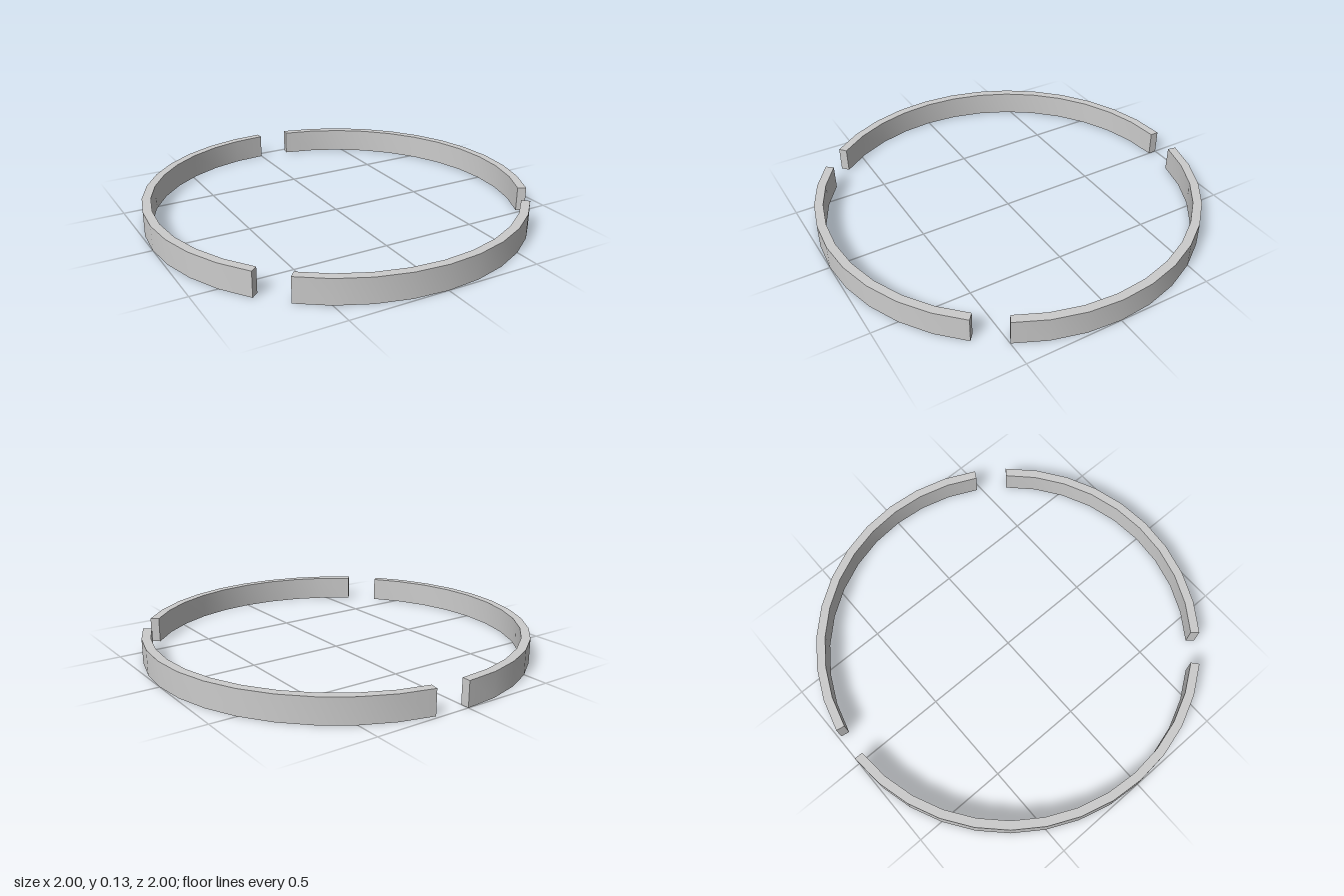
import * as THREE from 'three';
import { toCreasedNormals } from 'three/addons/utils/BufferGeometryUtils.js';

const OUTER = 1, INNER = 0.955, HEIGHT = 0.128, STEP = 10; // 36-sided ring

// Flat-ended arc of the ring; angles in degrees from +x towards +z
function arcGeometry(from, to) {
  const outer = [], inner = [];
  for (let a = from; a <= to; a += STEP) {
    const t = THREE.MathUtils.degToRad(a);
    const c = Math.cos(t), s = Math.sin(t);
    outer.push(new THREE.Vector2(OUTER * c, OUTER * s));
    inner.unshift(new THREE.Vector2(INNER * c, INNER * s));
  }
  const geo = new THREE.ExtrudeGeometry(new THREE.Shape([...outer, ...inner]), {
    depth: HEIGHT, bevelEnabled: false,
  });
  geo.rotateX(Math.PI / 2).translate(0, HEIGHT, 0);
  return toCreasedNormals(geo, Math.PI / 6); // smooth walls, sharp rims and ends
}

export function createModel() {
  const group = new THREE.Group();
  group.name = 'brokenRing';
  const material = new THREE.MeshStandardMaterial({ color: 0xcccccc });

  // Three arcs, each separated by one missing segment
  const arcs = [
    ['frontArc', 40, 130],
    ['rightArc', 140, 270],
    ['leftArc', 280, 390],
  ];
  for (const [name, from, to] of arcs) {
    const mesh = new THREE.Mesh(arcGeometry(from, to), material);
    mesh.name = name;
    group.add(mesh);
  }
  return group;
}
